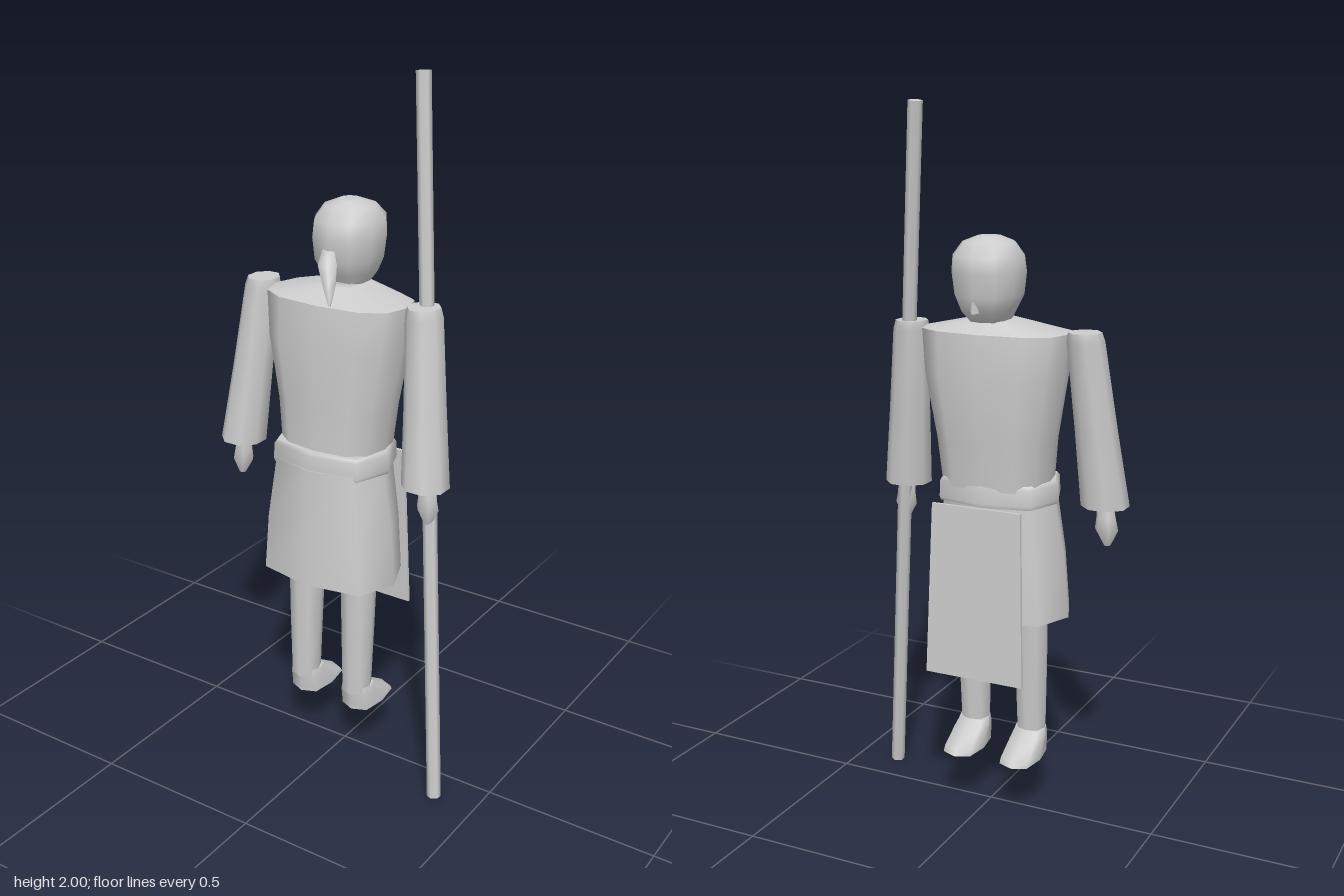
import * as THREE from 'three';

const cloth = new THREE.MeshStandardMaterial({ color: 0xcccccc });
cloth.name = 'plain grey';

// Smooth skin over rings [y, centreX, centreZ, radiusX, radiusZ], bottom to top, with sharp end caps.
// A power below 1 makes the cross-section boxier.
function loft(rings, sides = 8, power = 1, turn = 0) {
  const pos = [], idx = [];
  const bulge = (v) => Math.sign(v) * (Math.abs(v) < 1e-6 ? 0 : Math.abs(v) ** power);
  const addRing = ([y, cx, cz, rx, rz]) => {
    for (let j = 0; j < sides; j++) {
      const t = ((j + turn) / sides) * Math.PI * 2;
      pos.push(cx + rx * bulge(Math.cos(t)), y, cz + rz * bulge(Math.sin(t)));
    }
  };
  rings.forEach(addRing);
  for (let i = 0; i < rings.length - 1; i++) {
    for (let j = 0; j < sides; j++) {
      const k = (j + 1) % sides;
      const a = i * sides + j, b = i * sides + k;
      idx.push(a, a + sides, b, b, a + sides, b + sides);
    }
  }
  for (const top of [false, true]) {
    const ring = top ? rings[rings.length - 1] : rings[0];
    const start = pos.length / 3;
    addRing(ring);
    pos.push(ring[1], ring[0], ring[2]);
    for (let j = 0; j < sides; j++) {
      const k = (j + 1) % sides;
      idx.push(start + sides, start + (top ? k : j), start + (top ? j : k));
    }
  }
  const geo = new THREE.BufferGeometry();
  geo.setAttribute('position', new THREE.Float32BufferAttribute(pos, 3));
  geo.setIndex(idx);
  geo.computeVertexNormals();
  return geo;
}

export function createModel() {
  const model = new THREE.Group();
  model.name = 'staffBearer';
  const body = new THREE.Group();
  body.name = 'body';
  body.position.x = -0.022;
  model.add(body);

  const add = (name, geo, parent = body) => {
    const mesh = new THREE.Mesh(geo, cloth);
    mesh.name = name;
    parent.add(mesh);
    return mesh;
  };

  // Torso with a sloping yoke up to the neck
  add('torso', loft([
    [0.97, 0, 0.005, 0.155, 0.115],
    [1.1, 0, -0.002, 0.168, 0.12],
    [1.28, 0, -0.008, 0.2, 0.132],
    [1.4, 0, -0.01, 0.213, 0.118],
  ], 12, 0.75));
  add('shoulderYoke', loft([
    [1.4, 0, -0.01, 0.213, 0.118],
    [1.435, 0, -0.035, 0.06, 0.062],
  ], 12, 0.75));
  add('neck', loft([[1.4, 0, -0.035, 0.055, 0.055], [1.47, 0, -0.045, 0.055, 0.055]]));

  // Belt and skirt
  add('belt', loft([
    [0.925, 0, 0.015, 0.172, 0.128],
    [0.935, 0, 0.015, 0.176, 0.131],
    [0.98, 0, 0.015, 0.174, 0.129],
    [0.99, 0, 0.015, 0.166, 0.122],
  ], 8, 0.7));
  add('skirt', loft([
    [0.595, 0, 0.028, 0.206, 0.139],
    [0.76, 0, 0.025, 0.192, 0.136],
    [0.94, 0, 0.02, 0.162, 0.128],
  ], 8, 0.7));

  // Hanging apron panel, wider and further out at the hem
  const panel = new THREE.BoxGeometry(0.28, 0.49, 0.009);
  const p = panel.attributes.position;
  for (let i = 0; i < p.count; i++) {
    const up = p.getY(i) > 0;
    p.setX(i, p.getX(i) * (up ? 0.95 : 1.05));
    p.setZ(i, p.getZ(i) + (up ? -0.138 : -0.155));
  }
  panel.computeVertexNormals();
  add('apron', panel).position.y = 0.685;

  // Head, nose and tied hair
  add('head', loft([
    [1.43, 0, -0.052, 0.055, 0.058],
    [1.46, 0, -0.06, 0.072, 0.085],
    [1.5, 0, -0.056, 0.09, 0.103],
    [1.56, 0, -0.057, 0.097, 0.109],
    [1.605, 0, -0.06, 0.092, 0.107],
    [1.64, 0, -0.058, 0.068, 0.072],
    [1.655, 0, -0.056, 0.03, 0.032],
  ], 10, 0.9, 0.5));
  const nose = add('nose', new THREE.ConeGeometry(0.014, 0.05, 4));
  nose.position.set(0, 1.485, -0.15);
  nose.rotation.x = -0.25;
  add('ponytail', loft([
    [1.41, 0.05, 0.115, 0.004, 0.004],
    [1.46, 0.034, 0.092, 0.02, 0.02],
    [1.505, 0.012, 0.068, 0.03, 0.026],
    [1.535, 0, 0.045, 0.018, 0.02],
  ], 6));

  for (const [side, s] of [['right', -1], ['left', 1]]) {
    // Wide sleeve, swinging outward and back
    add(side + 'Sleeve', loft([
      [0.93, s * 0.305, 0.037, 0.067, 0.064],
      [1.15, s * 0.284, 0.012, 0.057, 0.06],
      [1.385, s * 0.261, -0.013, 0.05, 0.056],
      [1.41, s * 0.259, -0.015, 0.044, 0.05],
    ], 8, 1, 0.5));
    // Closed hand, pointed at the fingers
    add(side + 'Hand', loft([
      [0.82, s * 0.314, 0.035, 0.01, 0.01],
      [0.865, s * 0.312, 0.033, 0.034, 0.028],
      [0.9, s * 0.31, 0.033, 0.028, 0.024],
      [0.95, s * 0.305, 0.035, 0.022, 0.022],
    ], 6));
    // Leg and wedge-shaped shoe
    add(side + 'Leg', loft([
      [0.22, s * 0.09, 0.04, 0.042, 0.04],
      [0.42, s * 0.09, 0.035, 0.045, 0.05],
      [0.65, s * 0.089, 0.028, 0.048, 0.06],
    ], 8, 0.9));
    add(side + 'Shoe', loft([
      [0.165, s * 0.09, -0.018, 0.053, 0.088],
      [0.18, s * 0.09, -0.013, 0.053, 0.083],
      [0.22, s * 0.09, 0.02, 0.05, 0.052],
      [0.24, s * 0.09, 0.033, 0.045, 0.036],
    ], 8, 0.65));
  }

  // Long staff, slanting through the left hand
  const top = new THREE.Vector3(0.175, 1.998, -0.092);
  const foot = new THREE.Vector3(0.375, 0.004, 0.105);
  const along = top.clone().sub(foot);
  const staff = add('staff', new THREE.CylinderGeometry(0.02, 0.02, along.length(), 6), model);
  staff.position.copy(top).add(foot).multiplyScalar(0.5);
  staff.quaternion.setFromUnitVectors(new THREE.Vector3(0, 1, 0), along.normalize());

  return model;
}
